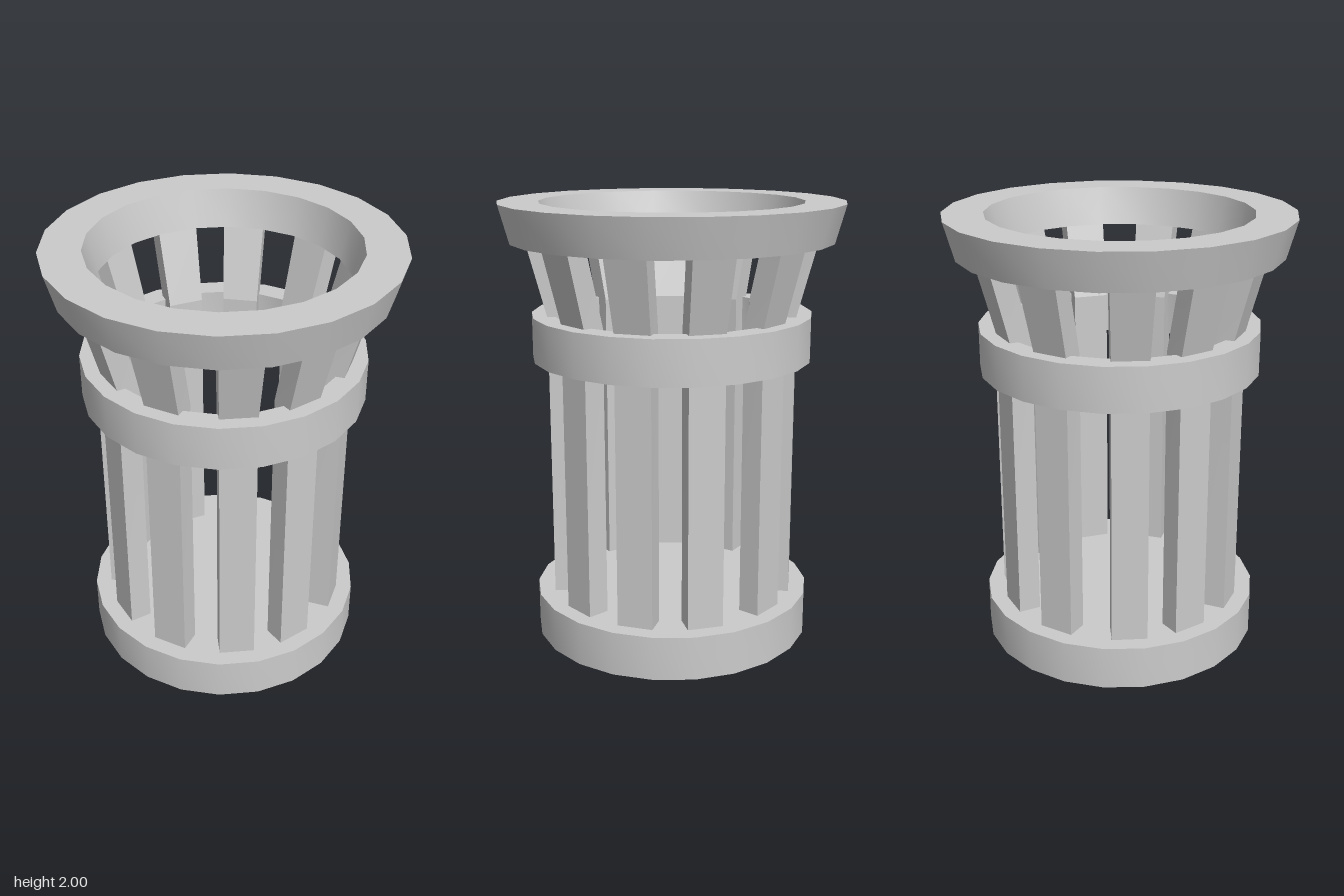
import * as THREE from 'three';
import { toCreasedNormals } from 'three/addons/utils/BufferGeometryUtils.js';

const SIDES = 22;
const material = new THREE.MeshStandardMaterial({ color: 0xcccccc });
const shellMaterial = new THREE.MeshStandardMaterial({ color: 0xcccccc, side: THREE.DoubleSide });

// Turned part from an [radius, y] profile, with sharp profile corners
function turned(name, profile, mat = material) {
  const points = profile.map(([r, y]) => new THREE.Vector2(r, y));
  const mesh = new THREE.Mesh(toCreasedNormals(new THREE.LatheGeometry(points, SIDES), 0.5), mat);
  mesh.name = name;
  return mesh;
}

// Closed ring; outer and inner radii may differ at bottom and top
function ring(name, y0, y1, outer0, outer1, inner0, inner1) {
  return turned(name, [[outer0, y0], [outer1, y1], [inner1, y1], [inner0, y0], [outer0, y0]]);
}

// Upright slat that bends outwards and widens above the collar
function slatGeometry() {
  const levels = [
    { y: 0.2, inner: 0.46, outer: 0.56, width: 0.16 },
    { y: 1.5, inner: 0.46, outer: 0.56, width: 0.16 },
    { y: 1.835, inner: 0.55, outer: 0.648, width: 0.182 },
  ];
  const geometry = new THREE.BoxGeometry(1, 2, 1, 1, 2, 1);
  const p = geometry.attributes.position;
  for (let i = 0; i < p.count; i++) {
    const level = levels[Math.round(p.getY(i)) + 1];
    p.setXYZ(i, p.getX(i) * level.width, level.y, p.getZ(i) > 0 ? level.outer : level.inner);
  }
  return toCreasedNormals(geometry, 0.1);
}

export function createModel() {
  const model = new THREE.Group();
  model.name = 'slattedBasket';

  // Base: a cap with a skirt, open underneath
  model.add(turned('base', [[0.64, 0], [0.64, 0.2], [0, 0.2]], shellMaterial));

  // Collar and flared rim
  model.add(ring('collar', 1.305, 1.505, 0.633, 0.633, 0.53, 0.53));
  model.add(ring('rim', 1.83, 2, 0.725, 0.772, 0.548, 0.59));

  // Eleven slats, slightly uneven in spacing (degrees from +x towards +z)
  const slats = new THREE.Group();
  slats.name = 'slats';
  const geometry = slatGeometry();
  const angles = [2, 34, 65.6, 101, 131, 164, 196.5, 229, 259, 294.3, 326.5];
  for (const angle of angles) {
    const slat = new THREE.Mesh(geometry, material);
    slat.name = 'slat';
    slat.rotation.y = THREE.MathUtils.degToRad(90 - angle);
    slats.add(slat);
  }
  model.add(slats);
  return model;
}
